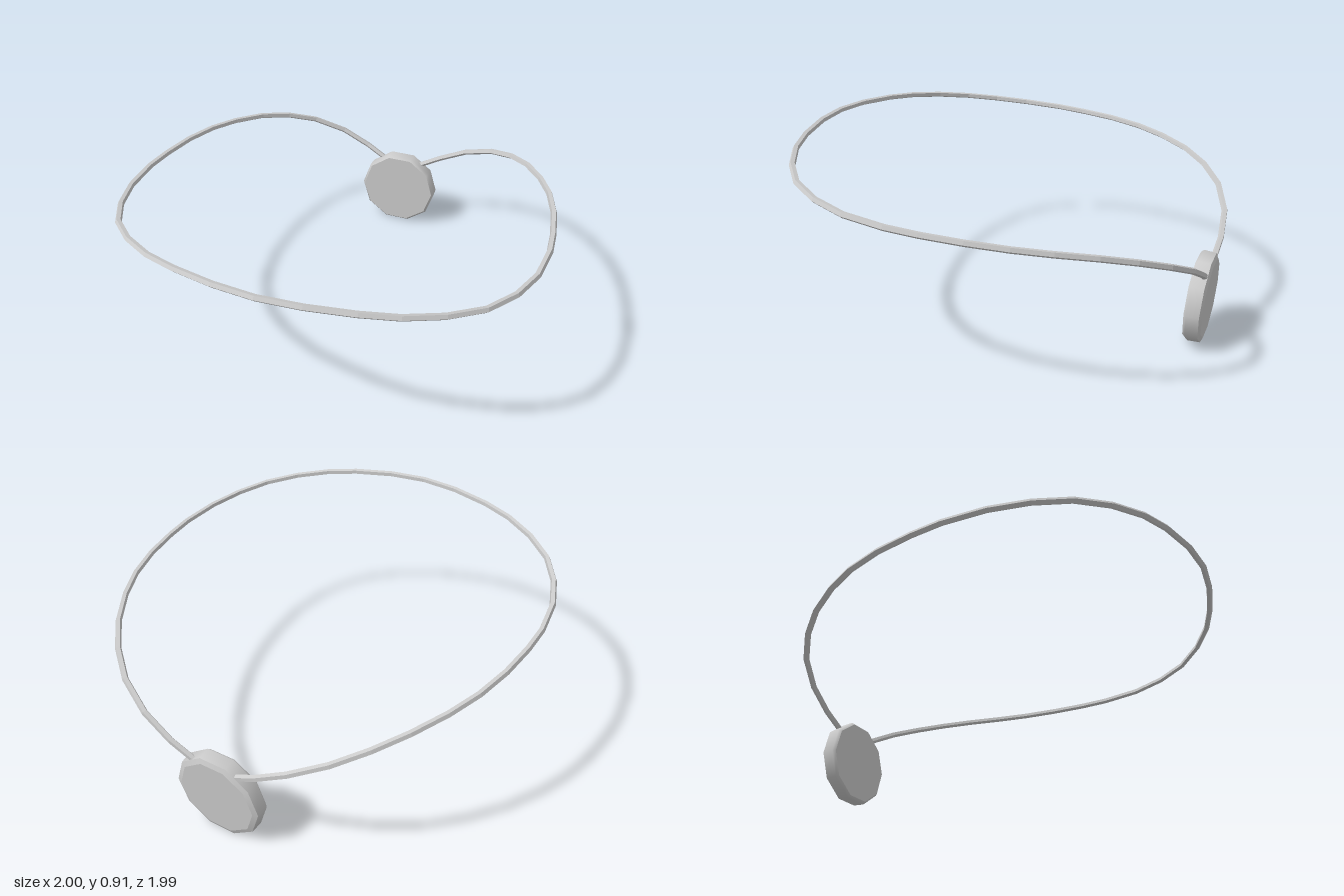
import * as THREE from 'three';

export function createModel() {
  const group = new THREE.Group();
  group.name = 'necklace';

  // Cord: one half from the pendant to the nape, mirrored to close the loop
  const half = [
    [0.105, 0.366, -0.97], [0.22, 0.43, -0.978], [0.365, 0.51, -0.962], [0.52, 0.585, -0.897],
    [0.645, 0.64, -0.795], [0.75, 0.68, -0.67], [0.84, 0.708, -0.52], [0.905, 0.728, -0.37],
    [0.95, 0.744, -0.2], [0.975, 0.756, -0.02], [0.983, 0.766, 0.13], [0.963, 0.78, 0.33],
    [0.908, 0.798, 0.5], [0.82, 0.82, 0.65], [0.69, 0.845, 0.77], [0.54, 0.867, 0.86],
    [0.39, 0.883, 0.915], [0.19, 0.896, 0.962], [0, 0.9, 0.98],
  ];
  const mirrored = half.slice(0, -1).reverse().map(([x, y, z]) => [-x, y, z]);
  const points = [...half, ...mirrored].map((p) => new THREE.Vector3(...p));
  const path = new THREE.CatmullRomCurve3(points);
  path.getUtoTmapping = (u) => u; // one ring of the tube at each point
  const cord = new THREE.Mesh(
    new THREE.TubeGeometry(path, points.length - 1, 0.015, 5, false),
    new THREE.MeshStandardMaterial({ color: 0xcccccc, flatShading: true, side: THREE.DoubleSide }));
  cord.name = 'cord';
  group.add(cord);

  // Pendant: ten-sided disc leaning slightly back, with crisp edges between its bands
  const pendant = new THREE.Group();
  pendant.name = 'pendant';
  const material = new THREE.MeshStandardMaterial({ color: 0xcccccc });
  const bands = {
    backFace: [[0, -0.043], [0.19, -0.043]],
    backChamfer: [[0.19, -0.043], [0.214, -0.034]],
    wall: [[0.214, -0.034], [0.218, 0.024], [0.206, 0.037]],
    frontFace: [[0.206, 0.037], [0, 0.037]],
  };
  for (const [name, profile] of Object.entries(bands)) {
    const band = new THREE.Mesh(
      new THREE.LatheGeometry(profile.map((p) => new THREE.Vector2(...p)), 10, Math.PI / 10), material);
    band.name = name;
    pendant.add(band);
  }
  pendant.rotation.x = Math.PI / 2 - 0.04;
  pendant.position.set(-0.006, 0.208, -0.944);
  group.add(pendant);

  return group;
}
